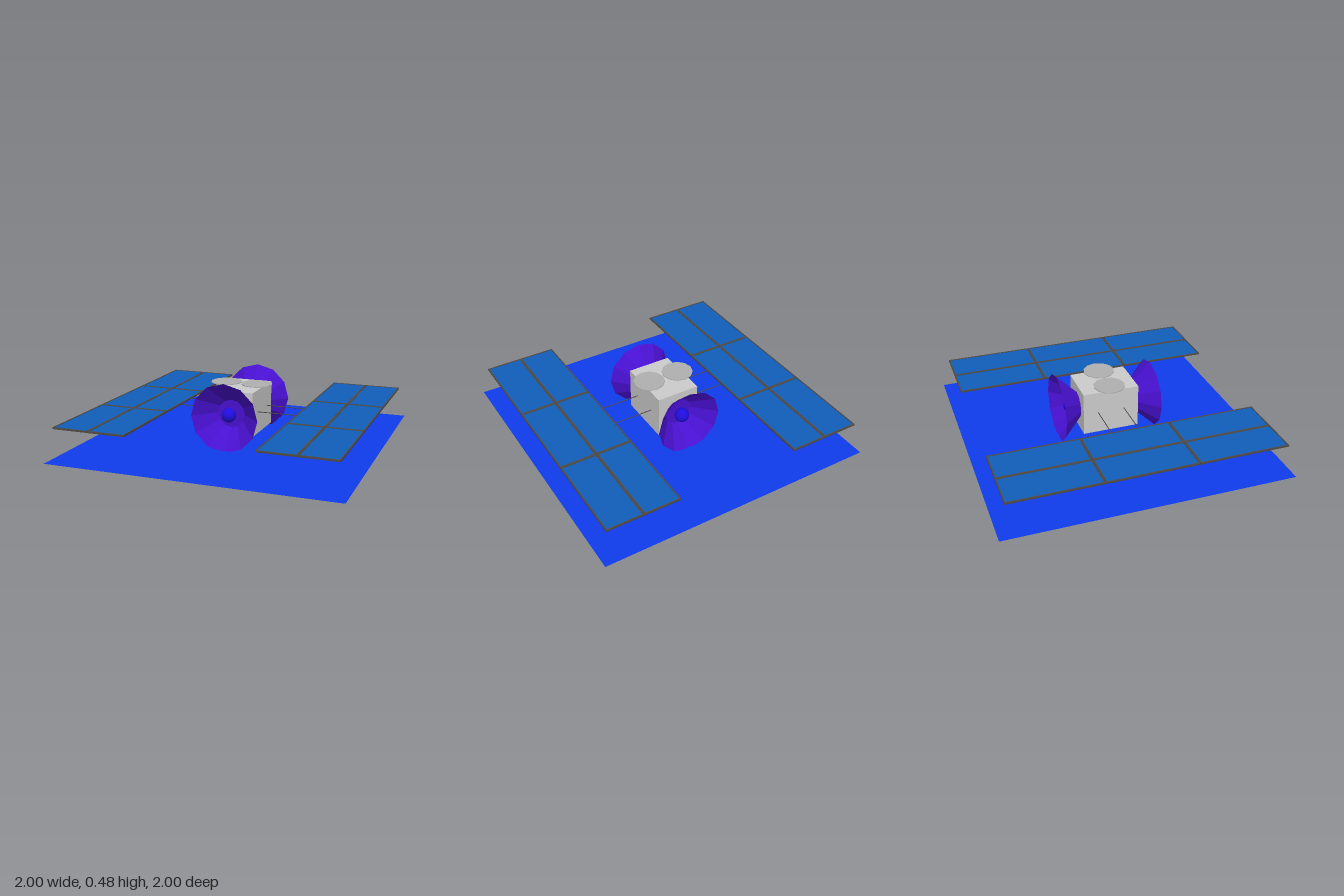
import * as THREE from 'three';

const mat = (color, extra = {}) => {
  const m = new THREE.MeshStandardMaterial({ color, ...extra });
  return m;
};

export function createModel() {
  const model = new THREE.Group();
  model.name = 'satellite';
  const axisY = 0.24;

  const grey = mat(0xcccccc);
  const discGrey = mat(0xb0b0b0, { flatShading: true });
  const dark = mat(0x504a44);
  const cellBlue = mat(0x115eba);
  const baseBlue = mat(0x103cec, { side: THREE.DoubleSide });
  const purple = mat(0x4810d0, { flatShading: true, side: THREE.DoubleSide });
  const ballBlue = mat(0x200ce0);

  const add = (name, geometry, material, x, y, z, parent = model) => {
    const mesh = new THREE.Mesh(geometry, material);
    mesh.name = name;
    mesh.position.set(x, y, z);
    parent.add(mesh);
    return mesh;
  };

  // Flat ground sheet, just above the lowest dish corners
  add('baseSheet', new THREE.PlaneGeometry(2, 2).rotateX(-Math.PI / 2), baseBlue, 0, 0.01, 0);

  // Central body
  add('body', new THREE.BoxGeometry(0.31, 0.31, 0.4), grey, 0, axisY, 0);

  // Two thin discs hovering over the body
  const discGeo = new THREE.CylinderGeometry(0.11, 0.11, 0.006, 12);
  for (const side of [-1, 1]) add('topDisc', discGeo, discGrey, side * 0.114, 0.415, 0);

  // Faceted dishes with a feed ball, front and back
  const dishGeo = new THREE.LatheGeometry(
    [[0, 0], [0.098, 0], [0.24, 0.145]].map(([r, h]) => new THREE.Vector2(r, h)), 12
  ).rotateX(Math.PI / 2);
  const ballGeo = new THREE.SphereGeometry(0.05, 24, 16);
  for (const end of ['front', 'back']) {
    const dish = new THREE.Group();
    dish.name = end + 'Dish';
    add('reflector', dishGeo, purple, 0, 0, 0.201, dish);
    add('feedBall', ballGeo, ballBlue, 0, 0, 0.25, dish);
    dish.position.y = axisY;
    if (end === 'back') dish.rotation.y = Math.PI;
    model.add(dish);
  }

  // One framed solar cell, repeated over both wings
  const cellW = 0.26, cellL = 0.63, border = 0.01;
  const rect = (P, w, l) => new P([[-w, -l], [w, -l], [w, l], [-w, l]]
    .map(([x, y]) => new THREE.Vector2(x / 2, y / 2)));
  const frameShape = rect(THREE.Shape, cellW - 0.002, cellL - 0.002);
  frameShape.holes.push(rect(THREE.Path, cellW - 2 * border, cellL - 2 * border));
  const frameGeo = new THREE.ExtrudeGeometry(frameShape, { depth: 0.012, bevelEnabled: false })
    .translate(0, 0, -0.006).rotateX(-Math.PI / 2);
  const cellGeo = new THREE.BoxGeometry(cellW - 2 * border, 0.006, cellL - 2 * border);
  const rodGeo = new THREE.CylinderGeometry(0.003, 0.003, 0.29, 8).rotateZ(Math.PI / 2);

  for (const side of [-1, 1]) {
    const wing = new THREE.Group();
    wing.name = side > 0 ? 'leftSolarWing' : 'rightSolarWing';
    for (const col of [-0.5, 0.5]) {
      for (const row of [-1, 0, 1]) {
        const x = side * 0.695 + col * cellW, z = row * cellL;
        add('cellFrame', frameGeo, dark, x, axisY, z, wing);
        add('solarCell', cellGeo, cellBlue, x, axisY, z, wing);
      }
    }
    // Rods joining the wing to the body
    for (const z of [-0.095, 0.095]) add('wingRod', rodGeo, dark, side * 0.295, axisY, z, wing);
    model.add(wing);
  }

  return model;
}
